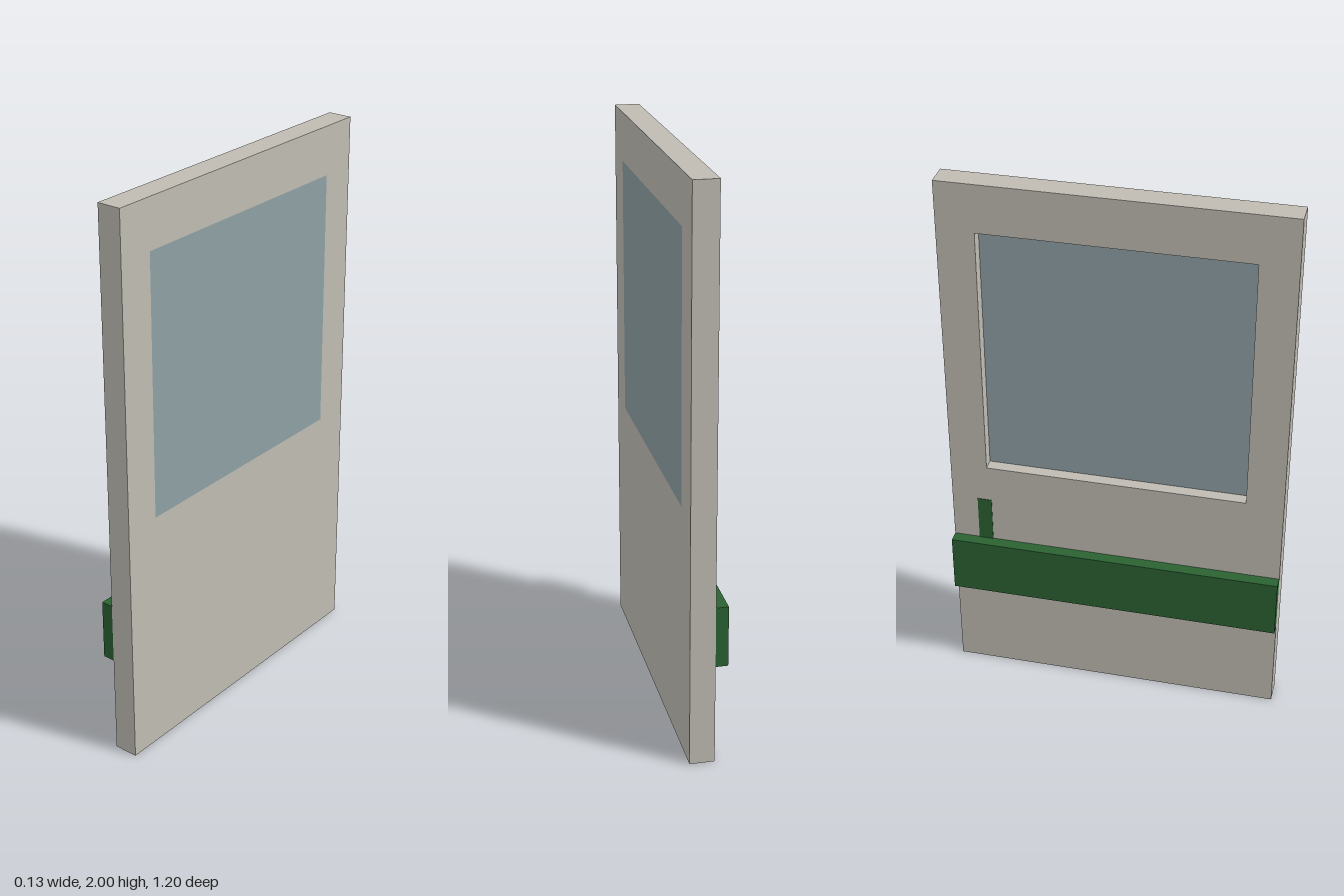
import * as THREE from 'three';

export function createModel() {
  const group = new THREE.Group();
  const mat = (name, color) => {
    const m = new THREE.MeshStandardMaterial({ color });
    m.name = name;
    return m;
  };
  const cream = mat('cream panel', 0xc0bcb3);
  const glass = mat('blue grey glass', 0x8fa0a4);
  const green = mat('green trim', 0x2b6233);

  // Box given by its lower and upper corners
  const box = (name, material, [x0, y0, z0], [x1, y1, z1]) => {
    const mesh = new THREE.Mesh(new THREE.BoxGeometry(x1 - x0, y1 - y0, z1 - z0), material);
    mesh.position.set((x0 + x1) / 2, (y0 + y1) / 2, (z0 + z1) / 2);
    mesh.name = name;
    group.add(mesh);
  };

  const inner = -0.022, outer = 0.065, halfWidth = 0.6;
  const win = { y0: 0.89, y1: 1.825, z: 0.467 };

  // Door panel with a window opening, extruded along x
  const shape = new THREE.Shape([
    new THREE.Vector2(-halfWidth, 0), new THREE.Vector2(halfWidth, 0),
    new THREE.Vector2(halfWidth, 2), new THREE.Vector2(-halfWidth, 2),
  ]);
  shape.holes.push(new THREE.Path([
    new THREE.Vector2(-win.z, win.y0), new THREE.Vector2(-win.z, win.y1),
    new THREE.Vector2(win.z, win.y1), new THREE.Vector2(win.z, win.y0),
  ]));
  const panelGeometry = new THREE.ExtrudeGeometry(shape, { depth: outer - inner, bevelEnabled: false });
  panelGeometry.rotateY(Math.PI / 2).translate(inner, 0, 0);
  const panel = new THREE.Mesh(panelGeometry, cream);
  panel.name = 'doorPanel';
  group.add(panel);

  // Pane flush with the outer face, recessed on the inner face
  box('windowPane', glass, [0.022, win.y0, -win.z], [outer, win.y1, win.z]);

  // Rail across the inner face and the flat latch strip above it
  box('rail', green, [-0.065, 0.36, -halfWidth], [inner, 0.577, halfWidth]);
  box('latchStrip', green, [inner - 0.002, 0.5, -0.506], [inner + 0.002, 0.75, -0.454]);

  return group;
}
